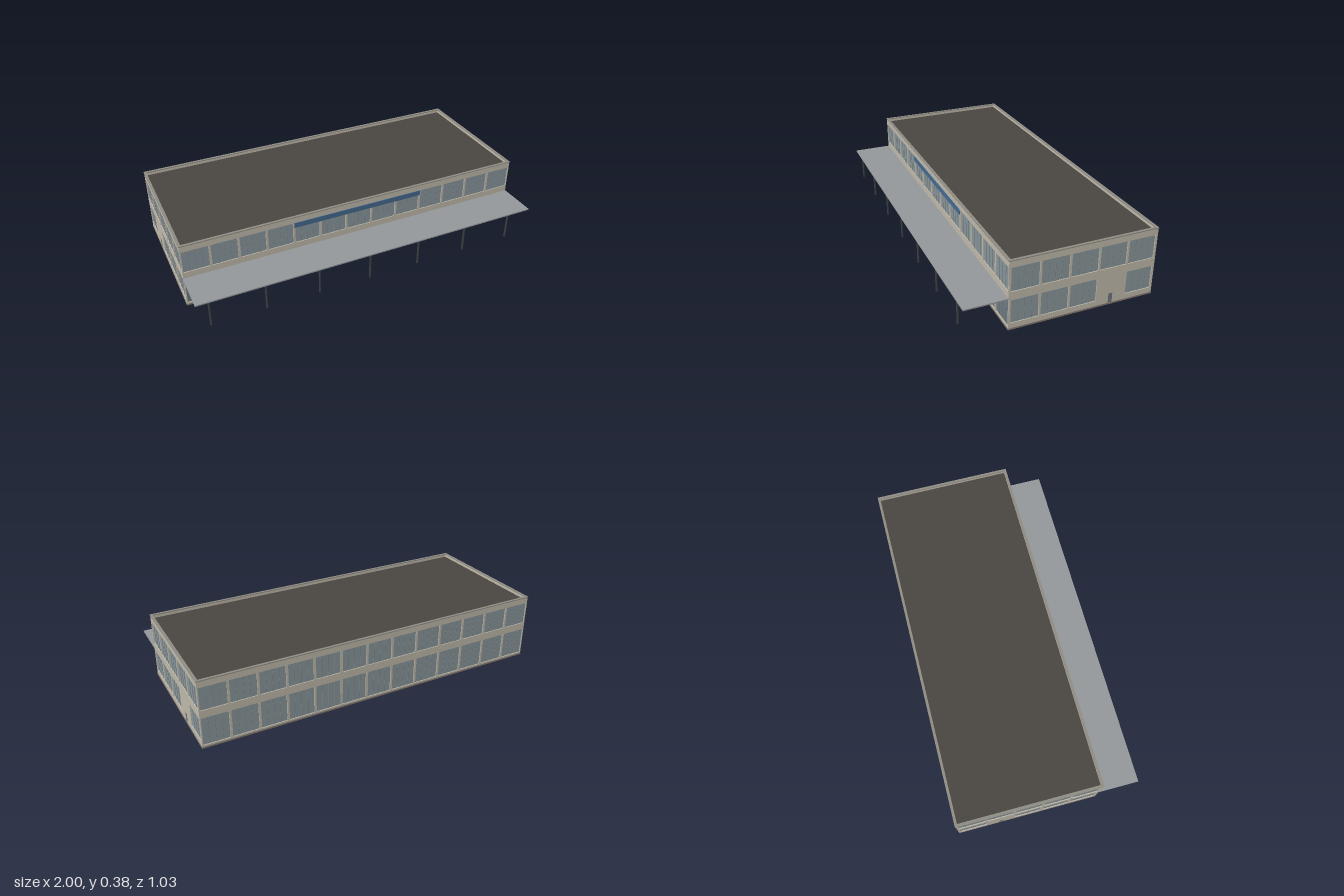
import * as THREE from 'three';

const mat = (color) => new THREE.MeshStandardMaterial({ color });
const WALL = mat(0xc0baab), GLASS = mat(0x89969b), DARK_GLASS = mat(0x6c7b82), LIGHT_GLASS = mat(0xa3adae);
const FRAME = mat(0x7b868a), DOOR = mat(0x6d757b), ROOF = mat(0x4a4541), PLINTH = mat(0x857a70);
const CANOPY = mat(0x94989b), POST = mat(0x3a4044), SIGN = mat(0x44698f), CAP = mat(0x8f8c84);

const X = 0.998, FRONT = 0.287, BACK = -0.511, TOP = 0.376, T = 0.012;
const MID = (FRONT + BACK) / 2, DEPTH = FRONT - BACK;

// Box given by its minimum and maximum corners
function box(parent, name, material, [x0, y0, z0], [x1, y1, z1]) {
  const mesh = new THREE.Mesh(new THREE.BoxGeometry(x1 - x0, y1 - y0, z1 - z0), material);
  mesh.position.set((x0 + x1) / 2, (y0 + y1) / 2, (z0 + z1) / 2);
  mesh.name = name;
  parent.add(mesh);
  return mesh;
}

// Wall with its outer face on z = 0 and a glazed hole for each opening
function facade(name, width, openings) {
  const group = new THREE.Group();
  group.name = name;
  const h = width / 2;
  const shape = new THREE.Shape([[-h, 0.008], [h, 0.008], [h, TOP], [-h, TOP]].map(([x, y]) => new THREE.Vector2(x, y)));
  for (const { x0, x1, y0, y1, glass, panes } of openings) {
    shape.holes.push(new THREE.Path([[x0, y0], [x0, y1], [x1, y1], [x1, y0]].map(([x, y]) => new THREE.Vector2(x, y))));
    box(group, 'windowGlass', glass, [x0 - 0.002, y0 - 0.002, -0.009], [x1 + 0.002, y1 + 0.002, -0.005]);
    for (let i = 1; i < panes; i++) {
      const x = x0 + ((x1 - x0) * i) / panes;
      box(group, 'mullion', FRAME, [x - 0.001, y0, -0.006], [x + 0.001, y1, -0.003]);
    }
  }
  const wall = new THREE.Mesh(new THREE.ExtrudeGeometry(shape, { depth: T, bevelEnabled: false }), WALL);
  wall.position.z = -T;
  wall.name = 'wall';
  group.add(wall);
  return group;
}

// Long facade: thirteen bays on two floors, some ground bays being entrances
function longFacade(name, entrances, groundGlass) {
  const bays = 13, pitch = (2 * X) / bays, openings = [], doorsAt = [];
  for (let i = 0; i < bays; i++) {
    const c = -X + pitch * (i + 0.5), x0 = c - pitch / 2 + 0.006, x1 = c + pitch / 2 - 0.006;
    openings.push({ x0, x1, y0: 0.215, y1: 0.342, glass: GLASS, panes: 4 });
    if (entrances.includes(i)) {
      openings.push({ x0, x1, y0: 0.016, y1: 0.093, glass: LIGHT_GLASS, panes: 1 });
      doorsAt.push(c - 0.012);
    } else openings.push({ x0, x1, y0: 0.018, y1: 0.172, glass: groundGlass, panes: 4 });
  }
  const group = facade(name, 2 * X, openings);
  // Entrance doors with posts and a transom
  for (const c of doorsAt) {
    for (const dx of [-0.03, 0, 0.03])
      box(group, 'doorPost', FRAME, [c + dx - 0.0015, 0.016, -0.006], [c + dx + 0.0015, 0.08, -0.002]);
    box(group, 'doorTransom', FRAME, [c - 0.06, 0.078, -0.006], [c + 0.08, 0.081, -0.002]);
  }
  return group;
}

// End facade: five bays, with a side door in place of one ground window
function endFacade(name, side) {
  const openings = [], pitch = 0.157;
  for (let i = 0; i < 5; i++) {
    const u0 = 0.012 + i * pitch - DEPTH / 2, u1 = u0 + 0.146;
    const [x0, x1] = side > 0 ? [u0, u1] : [-u1, -u0];
    openings.push({ x0, x1, y0: 0.212, y1: 0.341, glass: GLASS, panes: 4 });
    if (i !== 3) openings.push({ x0, x1, y0: 0.037, y1: 0.165, glass: GLASS, panes: 4 });
  }
  const group = facade(name, DEPTH - 2 * T, openings);
  const u = side * (MID + 0.267);
  box(group, 'sideDoor', DOOR, [u - 0.011, 0.01, -0.002], [u + 0.011, 0.064, 0.001]);
  group.position.set(side * X, 0, MID);
  group.rotation.y = (side * Math.PI) / 2;
  return group;
}

export function createModel() {
  const model = new THREE.Group();
  model.name = 'officeBuilding';

  // Outer walls
  const front = longFacade('frontFacade', [1, 5, 9], DARK_GLASS);
  front.position.z = FRONT;
  const back = longFacade('backFacade', [], GLASS);
  back.position.z = BACK;
  back.rotation.y = Math.PI;
  model.add(front, back, endFacade('rightEnd', 1), endFacade('leftEnd', -1));

  // Plinth and sunken flat roof
  box(model, 'plinth', PLINTH, [-1, 0, BACK - 0.001], [1, 0.009, FRONT + 0.001]);
  box(model, 'roof', ROOF, [-X + T, 0.348, BACK + T], [X - T, 0.361, FRONT - T]);

  // Parapet caps
  const z0 = BACK - 0.002, z1 = FRONT + 0.002, w = 0.014;
  for (const z of [z0, z1 - w]) box(model, 'parapetCap', CAP, [-1, TOP, z], [1, 0.381, z + w]);
  for (const x of [-1, 1 - w]) box(model, 'parapetCap', CAP, [x, TOP, z0 + w], [x + w, 0.381, z1 - w]);

  // Blue fascia panel above the upper windows
  box(model, 'fasciaPanel', SIGN, [-0.383, 0.314, FRONT], [0.383, 0.343, FRONT + 0.004]);

  // Front canopy on slim round posts
  box(model, 'canopy', CANOPY, [-1, 0.172, FRONT], [1, 0.179, 0.513]);
  for (let i = 0; i < 7; i++) {
    const post = new THREE.Mesh(new THREE.CylinderGeometry(0.006, 0.006, 0.164, 12), POST);
    post.position.set(-0.927 + i * 0.2995, 0.09, 0.49);
    post.name = 'canopyPost';
    model.add(post);
  }
  return model;
}
